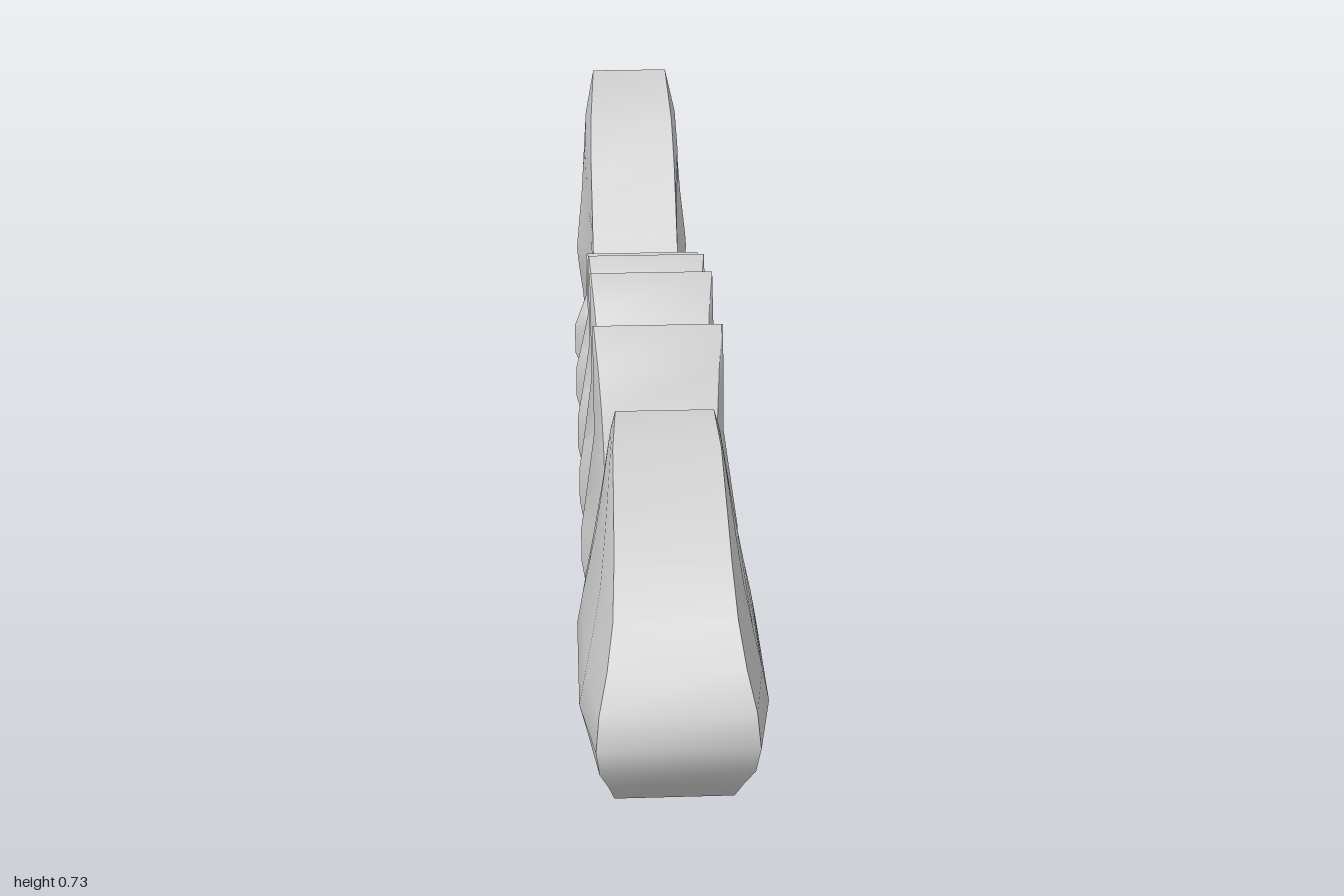
import * as THREE from 'three';
import { toCreasedNormals } from 'three/addons/utils/BufferGeometryUtils.js';

const MID_Y = 0.3725;
const material = new THREE.MeshStandardMaterial({ color: 0xcccccc, side: THREE.DoubleSide });

function addMesh(group, name, geometry) {
  const mesh = new THREE.Mesh(toCreasedNormals(geometry, 0.95), material);
  mesh.name = name;
  mesh.position.y = MID_Y;
  group.add(mesh);
}

// Stacks horizontal sections, mirrored above and below the middle row.
// Each row is [height, frontZ, backZ, half-widths from front to back];
// stations says where along front-to-back each half-width sits.
function slab(upperRows, stations) {
  const lower = upperRows.slice(1).reverse().map(([y, ...rest]) => [-y, ...rest]);
  const rows = [...lower, ...upperRows];
  const n = stations.length * 2;
  const points = [], faces = [];
  for (const [y, front, back, widths] of rows) {
    const side = stations.map((t, i) => [widths[i], y, front + (back - front) * t]);
    const mirrored = side.map(([x, h, z]) => [-x, h, z]).reverse();
    points.push(...side.flat(), ...mirrored.flat());
  }
  for (let i = 0; i < rows.length - 1; i++) {
    for (let j = 0; j < n; j++) {
      const a = i * n + j, b = i * n + (j + 1) % n;
      faces.push(a, b, b + n, a, b + n, a + n);
    }
  }
  const top = (rows.length - 1) * n;
  for (let j = 1; j < n - 1; j++) {
    faces.push(0, j + 1, j, top, top + j, top + j + 1);
  }
  const geometry = new THREE.BufferGeometry();
  geometry.setAttribute('position', new THREE.Float32BufferAttribute(points, 3));
  geometry.setIndex(faces);
  return geometry;
}

// Curved rib: swept back to thin tips, with a ridge along the middle of each side
function rib(front, back, tipZ, tipHeight) {
  const rows = [];
  for (let i = 0; i <= 6; i++) {
    const s = i / 6;
    const ridge = 0.13 - 0.024 * Math.min(1, s * 2);
    rows.push([
      0.03 + (tipHeight - 0.03) * s,
      THREE.MathUtils.lerp(front, tipZ + 0.002, s ** 1.8),
      THREE.MathUtils.lerp(back, tipZ, s ** 1.6),
      [0.09 + 0.014 * s ** 3, ridge, 0.1 + 0.005 * s],
    ]);
  }
  rows.unshift([0, front, back, [0.09, 0.13, 0.1]]);
  return slab(rows, [0, 0.58, 1]);
}

// Backbone: a tapering bar that flares where it meets the head
function spine() {
  const geometry = new THREE.BoxGeometry(1, 1, 1.2, 1, 1, 24);
  const p = geometry.attributes.position;
  for (let i = 0; i < p.count; i++) {
    const z = p.getZ(i) - 0.02;
    const flare = 0.035 * THREE.MathUtils.smoothstep(z, 0.47, 0.58);
    const halfHeight = THREE.MathUtils.mapLinear(z, 0.58, -0.62, 0.046, 0.025);
    p.setXYZ(i, p.getX(i) * 2 * (0.09 + flare), p.getY(i) * 2 * halfHeight, z);
  }
  return geometry;
}

export function createModel() {
  const group = new THREE.Group();
  group.name = 'fishSkeleton';

  // Head: rounded snout, flat back
  addMesh(group, 'head', slab([
    [0, 1, 0.565, [0.118, 0.14, 0.14, 0.13]],
    [0.05, 0.983, 0.565, [0.113, 0.13, 0.131, 0.122]],
    [0.10, 0.945, 0.565, [0.1, 0.118, 0.12, 0.113]],
    [0.155, 0.9, 0.565, [0.09, 0.106, 0.109, 0.104]],
    [0.205, 0.825, 0.565, [0.086, 0.098, 0.1, 0.096]],
    [0.248, 0.755, 0.565, [0.084, 0.092, 0.093, 0.09]],
    [0.30, 0.645, 0.565, [0.082, 0.084, 0.084, 0.082]],
    [0.325, 0.57, 0.565, [0.076, 0.076, 0.076, 0.076]],
  ], [0, 0.28, 0.8, 1]));

  addMesh(group, 'spine', spine());

  // Ribs: frontZ, backZ, tipZ, tip height above the spine
  [
    [0.48, 0.365, 0.335, 0.364],
    [0.265, 0.16, 0.085, 0.35],
    [0.05, -0.03, -0.125, 0.295],
    [-0.16, -0.24, -0.297, 0.228],
    [-0.37, -0.43, -0.453, 0.152],
  ].forEach((shape, i) => addMesh(group, `rib${i + 1}`, rib(...shape)));

  // Tail: forked fin with a notched rear edge
  addMesh(group, 'tail', slab([
    [0, -0.565, -0.88, [0.088, 0.09, 0.12]],
    [0.025, -0.575, -0.882, [0.088, 0.09, 0.118]],
    [0.063, -0.625, -0.89, [0.088, 0.092, 0.114]],
    [0.115, -0.68, -0.908, [0.088, 0.095, 0.108]],
    [0.168, -0.735, -0.926, [0.088, 0.098, 0.104]],
    [0.225, -0.8, -0.945, [0.088, 0.1, 0.1]],
    [0.293, -0.875, -0.972, [0.086, 0.096, 0.092]],
    [0.365, -0.996, -1, [0.078, 0.078, 0.078]],
  ], [0, 0.6, 1]));

  return group;
}
